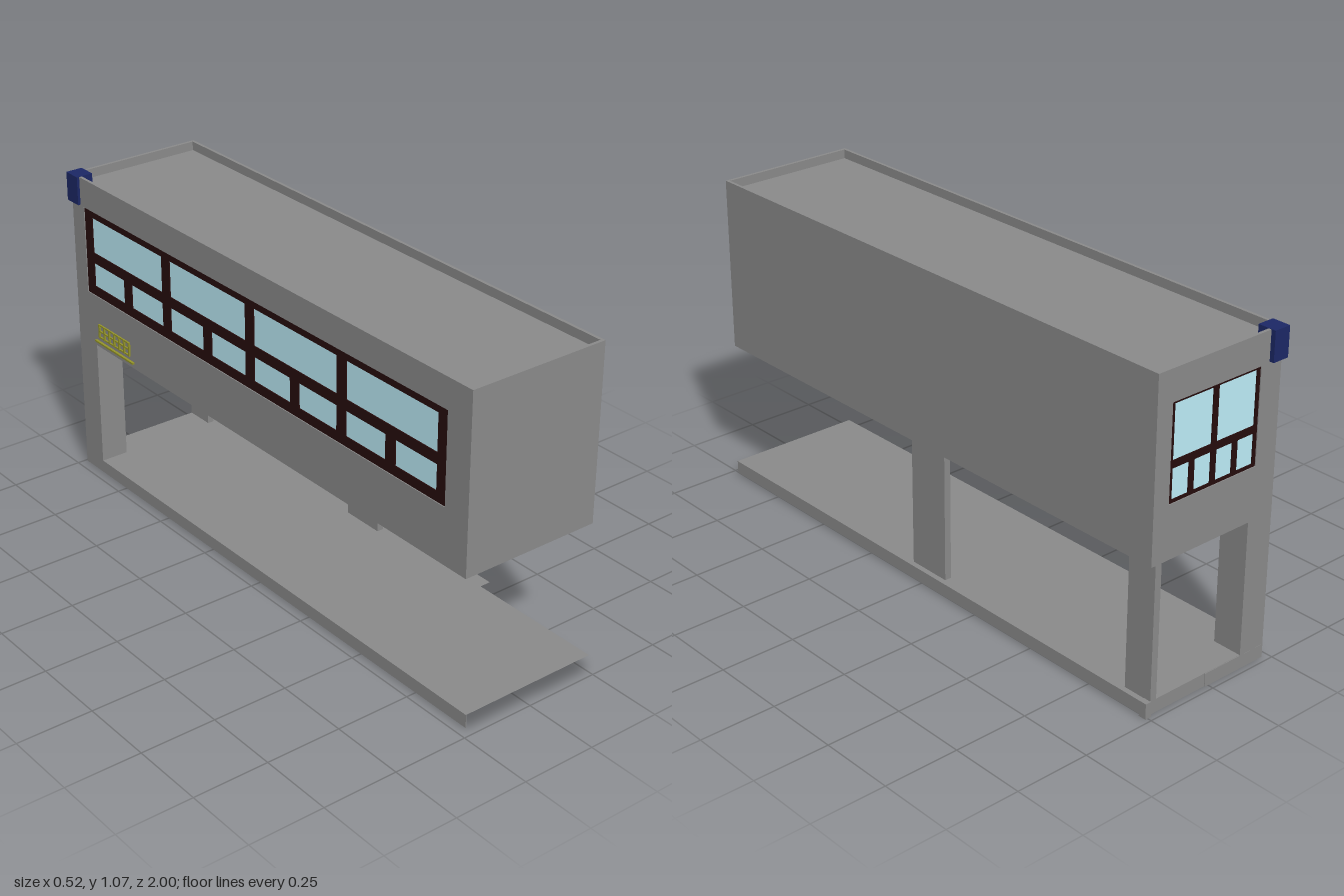
import * as THREE from 'three';

const mat = (color, side = THREE.FrontSide) => new THREE.MeshStandardMaterial({ color, side });
const grey = mat(0x8b8b8b);
const frameMat = mat(0x260c0c);
const glassMat = mat(0xbeeefa);
const navy = mat(0x1c2866);
const olive = mat(0x95952a);

const X0 = -0.222, X1 = 0.258, Z0 = -0.985, Z1 = 0.95; // outer walls
const FLOOR = 0.488, TOP = 1.065, ROOF = 1.035, WALL = 0.01;

// Box given by its opposite corners
function box(parent, name, [x0, y0, z0], [x1, y1, z1], material = grey) {
  const mesh = new THREE.Mesh(new THREE.BoxGeometry(x1 - x0, y1 - y0, z1 - z0), material);
  mesh.position.set((x0 + x1) / 2, (y0 + y1) / 2, (z0 + z1) / 2);
  mesh.name = name;
  parent.add(mesh);
  return mesh;
}

// Rectangle as shape or hole
function rect(Type, u0, y0, u1, y1) {
  const r = new Type();
  r.moveTo(u0, y0);
  r.lineTo(u1, y0);
  r.lineTo(u1, y1);
  r.lineTo(u0, y1);
  r.closePath();
  return r;
}

// Flat panel with holes; its outer face lies at z = front
function panel(parent, name, outline, holes, depth, front, material) {
  const shape = rect(THREE.Shape, ...outline);
  shape.holes = holes.map((h) => rect(THREE.Path, ...h));
  const geo = new THREE.ExtrudeGeometry(shape, { depth, bevelEnabled: false });
  geo.translate(0, 0, front - depth);
  const mesh = new THREE.Mesh(geo, material);
  mesh.name = name;
  parent.add(mesh);
}

// Wall with a window strip: one large pane over two small ones in each bay.
// edge = outer frame width, bar = mullion width, transom = its lower and upper height
function windowWall(name, u0, u1, win, bays, transom, edge, bar) {
  const wall = new THREE.Group();
  wall.name = name;
  const [a, y0, b, y1] = win;
  panel(wall, 'wallPanel', [u0, FLOOR, u1, TOP], [win], WALL, 0, grey);
  const panes = [];
  const paneWidth = (b - a - 2 * edge - (bays - 1) * bar) / bays;
  for (let i = 0; i < bays; i++) {
    const l = a + edge + i * (paneWidth + bar), r = l + paneWidth, m = (l + r) / 2;
    panes.push([l, transom[1], r, y1 - edge * 0.6]);
    panes.push([l, y0 + edge * 0.8, m - bar / 2, transom[0]]);
    panes.push([m + bar / 2, y0 + edge * 0.8, r, transom[0]]);
  }
  panel(wall, 'windowFrame', win, panes, 0.006, -0.003, frameMat);
  box(wall, 'windowGlass', [a, y0, -0.013], [b, y1, -0.007], glassMat);
  return wall;
}

export function createModel() {
  const model = new THREE.Group();

  // Base slab, open at the front end
  const slab = box(model, 'baseSlab', [X0, 0.006, -0.983], [X1, 0.05, 0.972]);
  const faces = Array.from(slab.geometry.index.array);
  faces.splice(24, 6);
  slab.geometry.setIndex(faces);
  slab.geometry.clearGroups();
  box(model, 'sideKerb', [X0 + 0.0005, 0.007, -0.96], [X0 + 0.003, 0.049, 0.972]);
  box(model, 'backKerb', [X0, 0.005, -0.985], [0.019, 0.049, -0.965]);
  box(model, 'cornerKerb', [0.237, 0, -0.986], [X1 + 0.001, 0.051, -0.96]);

  // Pillars
  box(model, 'cornerPillar', [X0, 0.007, Z0 + 0.0005], [-0.126, FLOOR, -0.883]);
  box(model, 'backPillar', [0.217, 0.045, Z0 + 0.001], [0.24, FLOOR, -0.883]);
  box(model, 'middlePillar', [0.217, 0.045, -0.1], [0.24, FLOOR, 0.052]);

  // Upper storey: plain walls, floor and sunken roof
  box(model, 'frontWall', [X0 + WALL, FLOOR, Z1 - WALL], [X1 - WALL, TOP, Z1]);
  box(model, 'leftWall', [X1 - WALL, FLOOR, Z0 + WALL], [X1, TOP, Z1]);
  box(model, 'storeyFloor', [X0 + WALL, FLOOR, Z0 + WALL], [X1 - WALL, FLOOR + 0.02, Z1 - WALL]);
  box(model, 'roof', [X0 + WALL, ROOF - 0.02, Z0 + WALL], [X1 - WALL, ROOF, Z1 - WALL]);

  // Long window wall, facing -x
  const side = windowWall('rightWindowWall', Z0, Z1, [-0.92, 0.67, 0.855, 0.967], 4, [0.785, 0.82], 0.04, 0.042);
  side.rotation.y = -Math.PI / 2;
  side.position.x = X0;
  model.add(side);

  // Short window wall, facing -z
  const back = windowWall('backWindowWall', -X1, -X0 - WALL, [-0.2, 0.66, 0.142, 0.965], 2, [0.765, 0.788], 0.012, 0.02);
  back.rotation.y = Math.PI;
  back.position.z = Z0;
  model.add(back);

  // Blue box on the roof corner
  box(model, 'cornerBox', [-0.231, 0.97, -1], [-0.173, TOP + 0.001, -0.938], navy);

  // Small ornamental grille low on the window wall
  const grille = new THREE.Group();
  grille.name = 'wallGrille';
  box(grille, 'grilleRail', [-0.23, 0.505, -0.88], [X0, 0.511, -0.66], olive);
  for (const y of [0.525, 0.547, 0.569]) {
    box(grille, 'grilleRail', [-0.227, y, -0.86], [X0, y + 0.005, -0.68], olive);
  }
  for (let i = 0; i < 7; i++) {
    const z = -0.86 + i * 0.029;
    box(grille, 'grilleBar', [-0.228, 0.525, z], [X0, 0.574, z + 0.006], olive);
  }
  model.add(grille);

  // Thin flat plate under the front corner
  const plate = new THREE.Mesh(new THREE.PlaneGeometry(0.08, 0.15), mat(0x8b8b8b, THREE.DoubleSide));
  plate.name = 'cornerPlate';
  plate.rotation.x = -Math.PI / 2;
  plate.position.set(-0.22, FLOOR - 0.001, 0.925);
  model.add(plate);

  return model;
}
